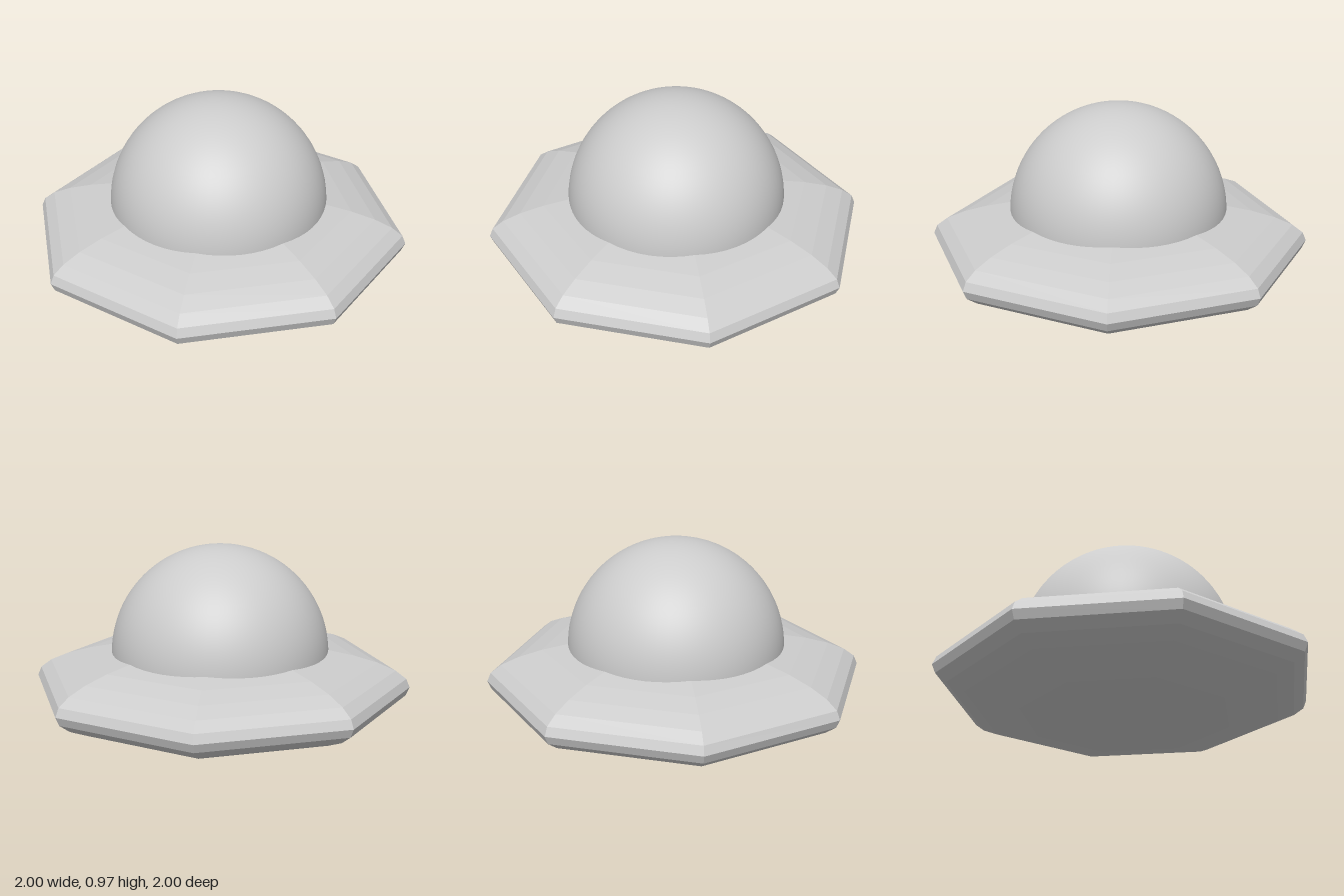
import * as THREE from 'three';

export function createModel() {
  const model = new THREE.Group();
  const grey = new THREE.MeshStandardMaterial({ color: 0xcccccc });
  grey.name = 'light grey';

  // Eight-sided flattened hull with faceted normals
  const hullHeight = 0.46;
  const hullGeometry = new THREE.SphereGeometry(1, 8, 16)
    .scale(1, hullHeight / 2, 1)
    .toNonIndexed();
  hullGeometry.computeVertexNormals();
  const hull = new THREE.Mesh(hullGeometry, grey);
  hull.name = 'saucerHull';
  hull.position.y = hullHeight / 2;
  model.add(hull);

  // Smooth dome, its rim sunk slightly into the hull
  const domeRadius = 0.572;
  const dome = new THREE.Mesh(
    new THREE.SphereGeometry(domeRadius, 64, 24, 0, Math.PI * 2, 0, Math.PI / 2),
    grey
  );
  dome.name = 'dome';
  dome.position.y = 0.965 - domeRadius;
  model.add(dome);

  return model;
}
